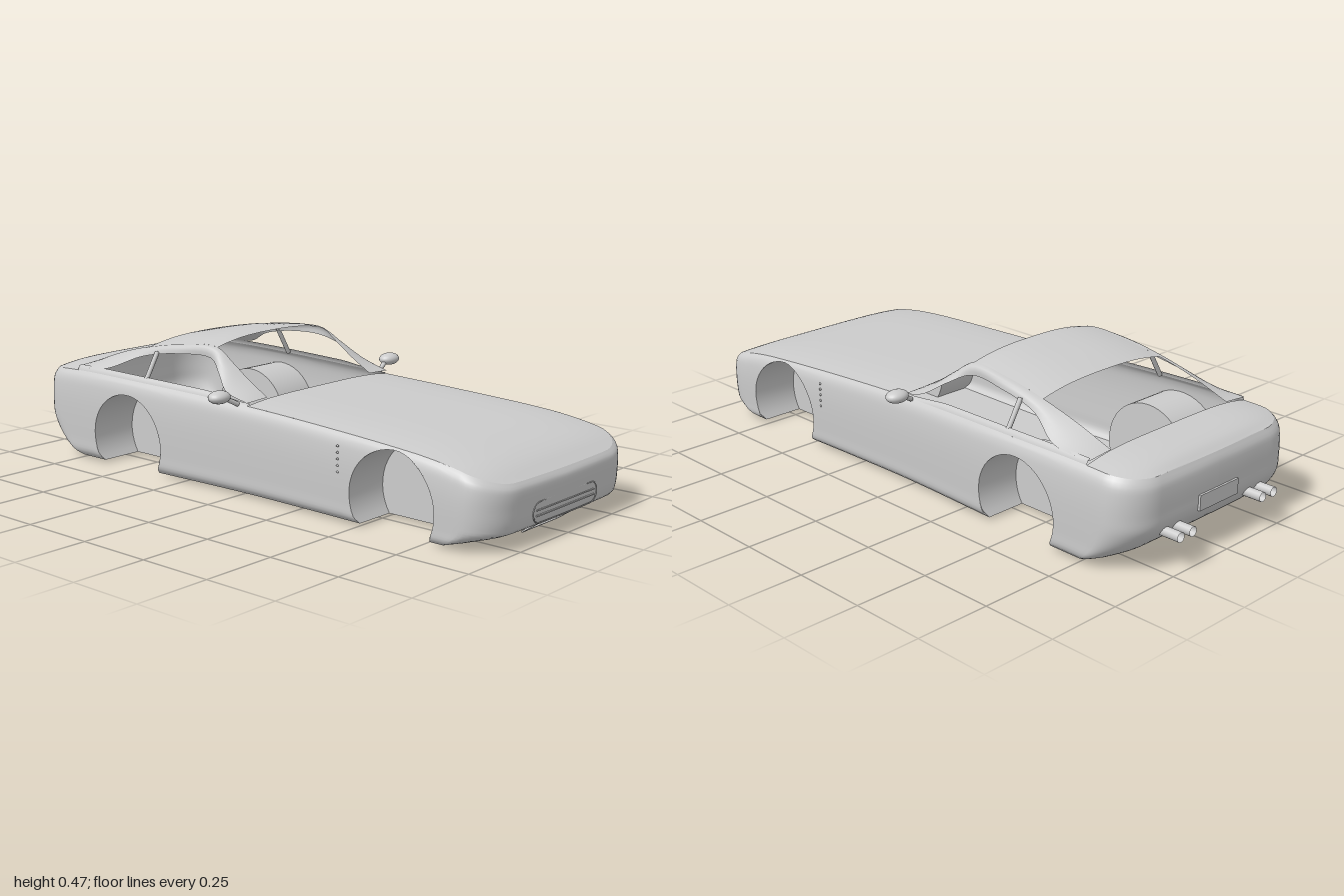
import * as THREE from 'three';

const mat = new THREE.MeshStandardMaterial({ color: 0xcccccc, side: THREE.DoubleSide });
const lerp = THREE.MathUtils.lerp, clamp = THREE.MathUtils.clamp;
const BOTTOM = 0.01, ARCH_Y = 0.1, ARCH_R = 0.16, WELL_Z = 0.22, ARCHES = [-0.5, 0.635];

// smooth function through [x, y] points
function curve(pts) {
  return x => {
    x = clamp(x, pts[0][0], pts[pts.length - 1][0]);
    let i = 0;
    while (i < pts.length - 2 && x > pts[i + 1][0]) i++;
    const slope = k => {
      const a = pts[Math.max(k - 1, 0)], b = pts[Math.min(k + 1, pts.length - 1)];
      return (b[1] - a[1]) / (b[0] - a[0]);
    };
    const [x0, y0] = pts[i], [x1, y1] = pts[i + 1], h = x1 - x0, t = (x - x0) / h;
    return y0 * (1 + 2 * t) * (1 - t) ** 2 + y1 * t * t * (3 - 2 * t)
      + h * slope(i) * t * (1 - t) ** 2 + h * slope(i + 1) * t * t * (t - 1);
  };
}

// body rules: plan width, shoulder height, crown of the top, tuck-in by height
const width = curve([[-0.84, 0.392], [-0.5, 0.39], [0, 0.372], [0.3, 0.376], [0.65, 0.387], [0.88, 0.388]]);
const shoulderY = curve([[-0.96, 0.295], [-0.85, 0.307], [-0.6, 0.31], [0, 0.296], [0.4, 0.28], [0.7, 0.262], [0.85, 0.242], [0.93, 0.222], [0.99, 0.197]]);
const crown = curve([[-0.955, 0], [-0.92, 0.016], [-0.85, 0.022], [-0.7, 0.022], [0, 0.014], [0.7, 0.014], [0.9, 0.009], [0.99, 0]]);
const tuckFront = curve([[0, 0.16], [0.07, 0.1], [0.2, 0.02], [0.3, 0.006], [0.6, 0], [0.9, 0], [1, 0.012]]);
const tuckRear = curve([[0, 0.17], [0.07, 0.12], [0.22, 0.05], [0.42, 0.006], [0.6, 0], [0.9, 0.002], [1, 0.015]]);
const tuckSide = curve([[0, 0.022], [0.06, 0.006], [0.2, 0.003], [0.6, 0], [0.85, 0.004], [0.95, 0.012], [1, 0.024]]);

function grid(rows) {
  const n = rows[0].length, index = [];
  for (let i = 0; i < rows.length - 1; i++) for (let j = 0; j < n - 1; j++) {
    const a = i * n + j, b = a + n;
    index.push(a, b, a + 1, b, b + 1, a + 1);
  }
  const g = new THREE.BufferGeometry();
  g.setAttribute('position', new THREE.Float32BufferAttribute(rows.flat(2), 3));
  g.setIndex(index);
  g.computeVertexNormals();
  return g;
}

// a station is a top point (x, z) with a bottom point (bx, by)
const plain = (x, z = null, bx = x) => ({ x, z, bx, by: BOTTOM });
const range = (a, b, n) => Array.from({ length: n + 1 }, (_, i) => lerp(a, b, i / n));

function bodyPoint(s, t) {
  let x = lerp(s.bx, s.x, 1 - (1 - t) ** 2);
  const top = shoulderY(s.x), y = lerp(s.by, top, t);
  let z = s.z === null ? width(x) : s.z;
  const f = clamp((y - BOTTOM) / (top - BOTTOM), 0, 1);
  x -= clamp((x - 0.8) / 0.19, 0, 1) * tuckFront(f);
  x += clamp((-0.7 - x) / 0.255, 0, 1) * tuckRear(f);
  z *= 1 - tuckSide(f) / 0.39;
  return [x, y, z];
}

const angles = range(0, Math.PI / 2, 10);
const rearEnd = [0, 0.09, 0.18, 0.24].map(z => plain(-0.955 + z * z * 0.06, z))
  .concat(angles.map(a => plain(-0.84 - 0.112 * Math.cos(a), 0.26 + 0.132 * Math.sin(a))));
const frontEnd = angles.map(a => plain(0.88 + 0.106 * Math.sin(a), 0.25 + 0.138 * Math.cos(a)))
  .concat([0.23, 0.16, 0.08, 0].map(z => plain(0.99 - z * z * 0.06, z)));
const a0 = Math.PI + Math.asin((ARCH_Y - BOTTOM) / ARCH_R), half = Math.cos(a0 - Math.PI) * ARCH_R;
const arch = c => range(0, 1, 32).map(k => {
  const a = lerp(a0, Math.PI - a0, k);
  return { x: c + lerp(-0.22, 0.22, k), z: null, bx: c + ARCH_R * Math.cos(a), by: ARCH_Y + ARCH_R * Math.sin(a) };
});
const [rearArch, frontArch] = ARCHES.map(arch);
const between = (x0, x1, b0, b1, n) => range(0, 1, n).slice(1, -1).map(k => plain(lerp(x0, x1, k), null, lerp(b0, b1, k)));
const [rc, fc] = ARCHES;
const stations = [...rearEnd,
  ...between(-0.84, rc - 0.22, -0.84, rc - half, 6), ...rearArch,
  ...between(rc + 0.22, fc - 0.22, rc + half, fc - half, 18), ...frontArch,
  ...between(fc + 0.22, 0.88, fc + half, 0.88, 4), ...frontEnd];

// top skin spanning both shoulders
function topSkin(list) {
  return grid(list.map(s => {
    const [x, y, z] = bodyPoint(s, 1);
    return range(1, -1, 24).map(t => [x, y + crown(s.x) * (1 - t ** 4), z * t]);
  }));
}

function floorGeometry() {
  const side = [];
  for (const s of stations) {
    const [x, , z] = bodyPoint(s, 0);
    const list = s === rearArch[0] || s === frontArch[0] ? [[x, z], [x, WELL_Z]]
      : s === rearArch[32] || s === frontArch[32] ? [[x, WELL_Z], [x, z]]
      : s.by > BOTTOM + 1e-6 || rearArch.includes(s) || frontArch.includes(s) ? [] : [[x, z]];
    side.push(...list);
  }
  const other = side.slice(1, -1).reverse().map(([x, z]) => [x, -z]);
  const shape = new THREE.Shape([...side, ...other].map(p => new THREE.Vector2(...p)));
  return new THREE.ShapeGeometry(shape).rotateX(Math.PI / 2).translate(0, BOTTOM, 0);
}

// cabin side: window top edge and inner edge of roof, screen and rear window
const railOuter = [[-0.77, 0.322, 0.362], [-0.63, 0.33, 0.36], [-0.5, 0.382, 0.31], [-0.35, 0.408, 0.294], [-0.2, 0.41, 0.28], [-0.13, 0.375, 0.315], [-0.06, 0.33, 0.352], [0.03, 0.305, 0.352]];
const railInner = [[-0.77, 0.33, 0.27], [-0.63, 0.378, 0.27], [-0.5, 0.411, 0.268], [-0.35, 0.437, 0.264], [-0.19, 0.444, 0.257], [-0.12, 0.402, 0.257], [-0.05, 0.355, 0.257], [0.03, 0.309, 0.257]];
const path = pts => new THREE.CatmullRomCurve3(pts.map(p => new THREE.Vector3(...p)), false, 'centripetal');
function railGeometry() {
  const o = path(railOuter), i = path(railInner);
  return grid(range(0, 1, 42).map(k => {
    const p = o.getPoint(k), q = i.getPoint(k), bulge = 0.012 * Math.sin(Math.PI * k);
    return range(0, 1, 5).map(t => {
      const v = p.clone().lerp(q, t), b = bulge * 4 * t * (1 - t);
      return [v.x, v.y + b * 0.7, v.z + b * 0.7];
    });
  }));
}

export function createModel() {
  const model = new THREE.Group();
  const add = (name, geo, pos = [0, 0, 0], parent = model) => {
    const m = new THREE.Mesh(geo, mat);
    m.name = name;
    m.position.set(...pos);
    parent.add(m);
    return m;
  };
  const rod = (name, a, b, r, parent) =>
    add(name, new THREE.TubeGeometry(new THREE.LineCurve3(new THREE.Vector3(...a), new THREE.Vector3(...b)), 1, r, 8), [0, 0, 0], parent);

  // body skin and floor
  add('hood', topSkin([...range(0.03, 0.87, 30).map(x => plain(x)), ...frontEnd]));
  add('rearDeck', topSkin([...rearEnd, ...range(-0.83, -0.77, 4).map(x => plain(x))]));
  add('floor', floorGeometry());

  // roof
  const roofLine = path(railInner);
  add('roof', grid(range(2 / 7, 4 / 7, 14).map(k => {
    const p = roofLine.getPoint(k);
    return range(1, -1, 24).map(t => [p.x, p.y + 0.024 * (1 - Math.abs(t) ** 2.6), p.z * t]);
  })));

  // parts repeated on both sides
  for (const dir of [1, -1]) {
    const side = new THREE.Group();
    side.name = dir > 0 ? 'leftSide' : 'rightSide';
    side.scale.z = dir;
    model.add(side);
    const put = (name, geo, pos) => add(name, geo, pos, side);
    put('bodySide', grid(stations.map(s => range(0, 1, 28).map(t => bodyPoint(s, t)))));
    put('windowSill', grid(range(-0.77, 0.03, 24).map(x => {
      const [px, y, z] = bodyPoint(plain(x), 1);
      const rise = 0.018 * clamp((0.05 - x) / 0.2, 0.3, 1);
      return [[px, y, z], [px, y + rise * 0.7, z - 0.004], [px, y + rise, z - 0.014]];
    })));
    put('roofRail', railGeometry());
    rod('doorPillar', [-0.435, 0.31, 0.355], [-0.435, 0.405, 0.298], 0.008, side);
    for (const a of [rearArch, frontArch]) {
      const rim = a.map(s => bodyPoint(s, 0));
      put('wheelWell', grid(rim.map(([x, y, z]) => [[x, y, WELL_Z], [x, y, z]])));
      const cap = new THREE.Shape(rim.map(([x, y]) => new THREE.Vector2(x, y)).reverse());
      put('wheelWellWall', new THREE.ShapeGeometry(cap), [0, 0, WELL_Z]);
    }
    put('mirror', new THREE.SphereGeometry(1, 24, 16).scale(0.032, 0.021, 0.04), [-0.018, 0.33, 0.425]);
    rod('mirrorStalk', [-0.005, 0.298, 0.355], [-0.018, 0.325, 0.405], 0.008, side);
    for (const z of [0.167, 0.222])
      put('exhaustPipe', new THREE.CylinderGeometry(0.016, 0.016, 0.08, 16, 1, true).rotateZ(Math.PI / 2), [-0.96, 0.115, z]);
    for (let i = 0; i < 5; i++)
      put('sideVent', new THREE.SphereGeometry(0.004, 8, 6), [0.43, 0.16 + i * 0.02, width(0.43)]);
  }

  // grille outline with two slats
  const w = 0.14, r = 0.032, gy = 0.092, gx = 0.988;
  const loop = range(0, 1, 32).slice(0, -1).map(k => {
    const a = k * Math.PI * 2;
    return [gx, gy + r * Math.sin(a), Math.sign(Math.cos(a + 1e-4)) * w + r * Math.cos(a)];
  });
  const outline = path(loop);
  outline.closed = true;
  add('grilleFrame', new THREE.TubeGeometry(outline, 96, 0.002, 6, true));
  for (const y of [0.083, 0.1]) add('grilleSlat', new THREE.BoxGeometry(0.006, 0.004, 0.31), [gx, y, 0]);

  // front plate frame under the nose, rear plate
  const corners = [[0.972, 0.054, 0.093], [0.972, 0.054, -0.093], [0.9, 0.004, -0.093], [0.9, 0.004, 0.093]];
  corners.forEach((c, i) => rod('frontPlateFrame', c, corners[(i + 1) % 4], 0.003));
  add('rearPlate', new THREE.BoxGeometry(0.01, 0.05, 0.18), [-0.957, 0.165, 0]);
  return model;
}
